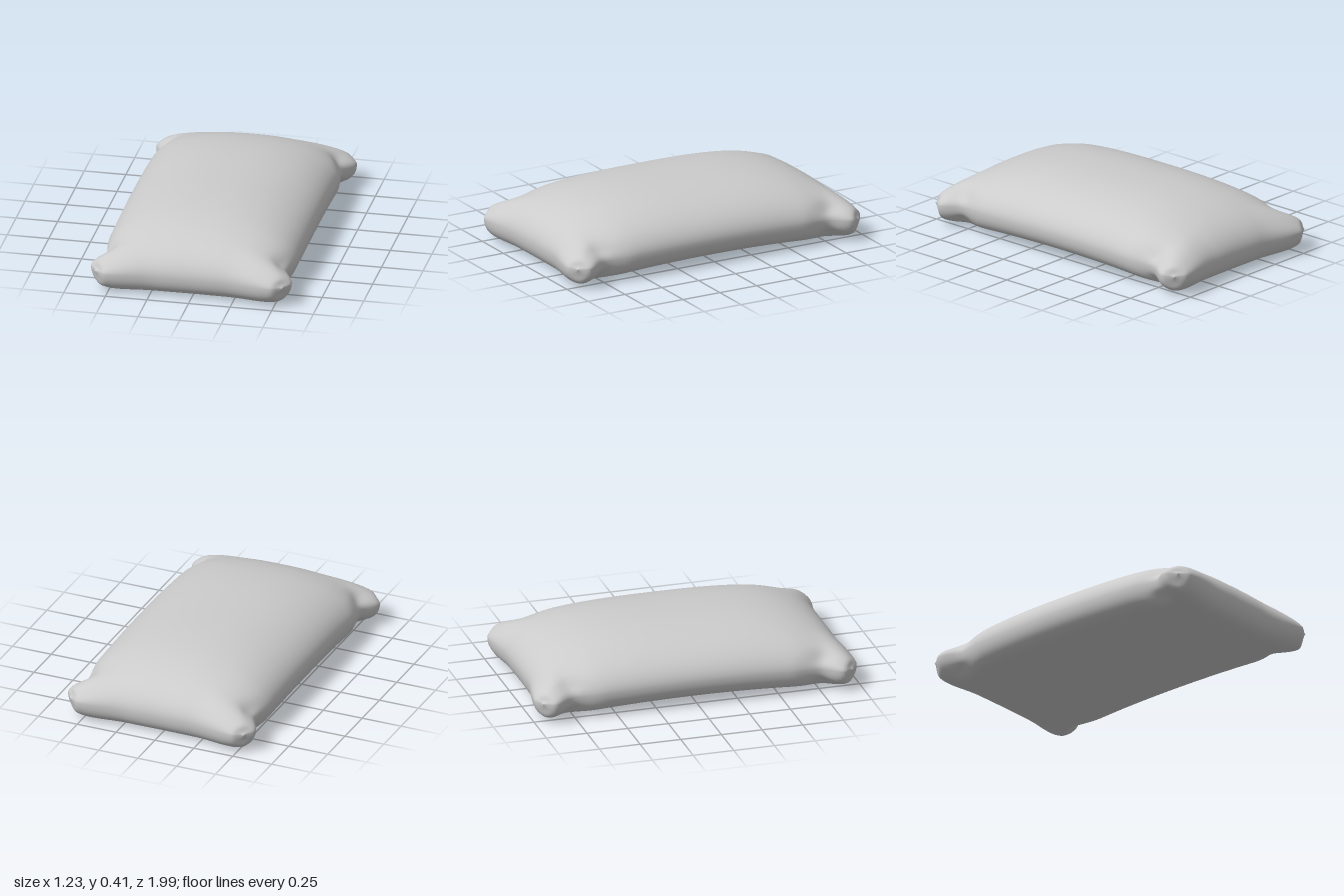
import * as THREE from 'three';
import { mergeGeometries, mergeVertices } from 'three/addons/utils/BufferGeometryUtils.js';

// Smooth interpolation through [position, value] stops
function ease(stops, t) {
  for (let i = 1; i < stops.length; i++) {
    const [a, p] = stops[i - 1], [b, q] = stops[i];
    if (t <= b) return p + (q - p) * THREE.MathUtils.smoothstep(t, a, b);
  }
  return stops[stops.length - 1][1];
}

// Seam outline: pinched sides just before the flared, rounded corners
const halfWidth = [[0, 0.572], [0.6, 0.57], [0.79, 0.547], [0.93, 0.605], [1, 0.565]];
const halfLength = [[0, 0.95], [0.35, 0.952], [0.88, 0.988], [1, 0.95]];

// Rounded fall-off from 1 in the middle to 0 at the seam
const dome = (t, power, root = 0.5) => Math.pow(Math.max(0, 1 - Math.pow(t, power)), root);

function sackPoint(s, t, isTop) {
  // Sample more densely towards the seam
  const u = Math.sin(s * Math.PI / 2), v = Math.sin(t * Math.PI / 2);
  const au = Math.min(1, Math.abs(u)), av = Math.min(1, Math.abs(v));

  const x = u * ease(halfWidth, av) - 0.01 * v ** 3;
  const z = v * ease(halfLength, au) + 0.01 * u ** 3;

  // The sack sags slightly at both ends
  const seam = 0.15 + 0.035 * (1 - v * v);
  // Fold dents beside the four corners
  const dent = 1 - 0.25 * Math.exp(-(((au - 0.95) / 0.07) ** 2) - ((av - 0.79) / 0.06) ** 2);
  const y = isTop
    ? seam + (0.43 - seam) * dome(au, 2.3, 0.52) * dome(av, 3) * dent
    : seam - (0.135 + 0.014 * v * v) * dome(au, 10) * dome(av, 16) * dent;
  return [x, y, z];
}

// One half of the skin, a grid bent into shape
function sackHalf(isTop) {
  const geo = new THREE.PlaneGeometry(2, 2, 56, 72);
  geo.rotateX(isTop ? -Math.PI / 2 : Math.PI / 2);
  const pos = geo.attributes.position;
  for (let i = 0; i < pos.count; i++) {
    pos.setXYZ(i, ...sackPoint(pos.getX(i), pos.getZ(i), isTop));
  }
  geo.deleteAttribute('uv');
  geo.deleteAttribute('normal');
  return geo;
}

export function createModel() {
  const group = new THREE.Group();
  group.name = 'sack';

  // Weld both halves along the seam for continuous smooth shading
  const geo = mergeVertices(mergeGeometries([sackHalf(true), sackHalf(false)]), 1e-4);
  geo.computeBoundingBox();
  geo.translate(0, -geo.boundingBox.min.y, 0);
  geo.computeVertexNormals();

  const body = new THREE.Mesh(geo, new THREE.MeshStandardMaterial({ color: 0xcccccc }));
  body.name = 'sackBody';
  group.add(body);
  return group;
}
